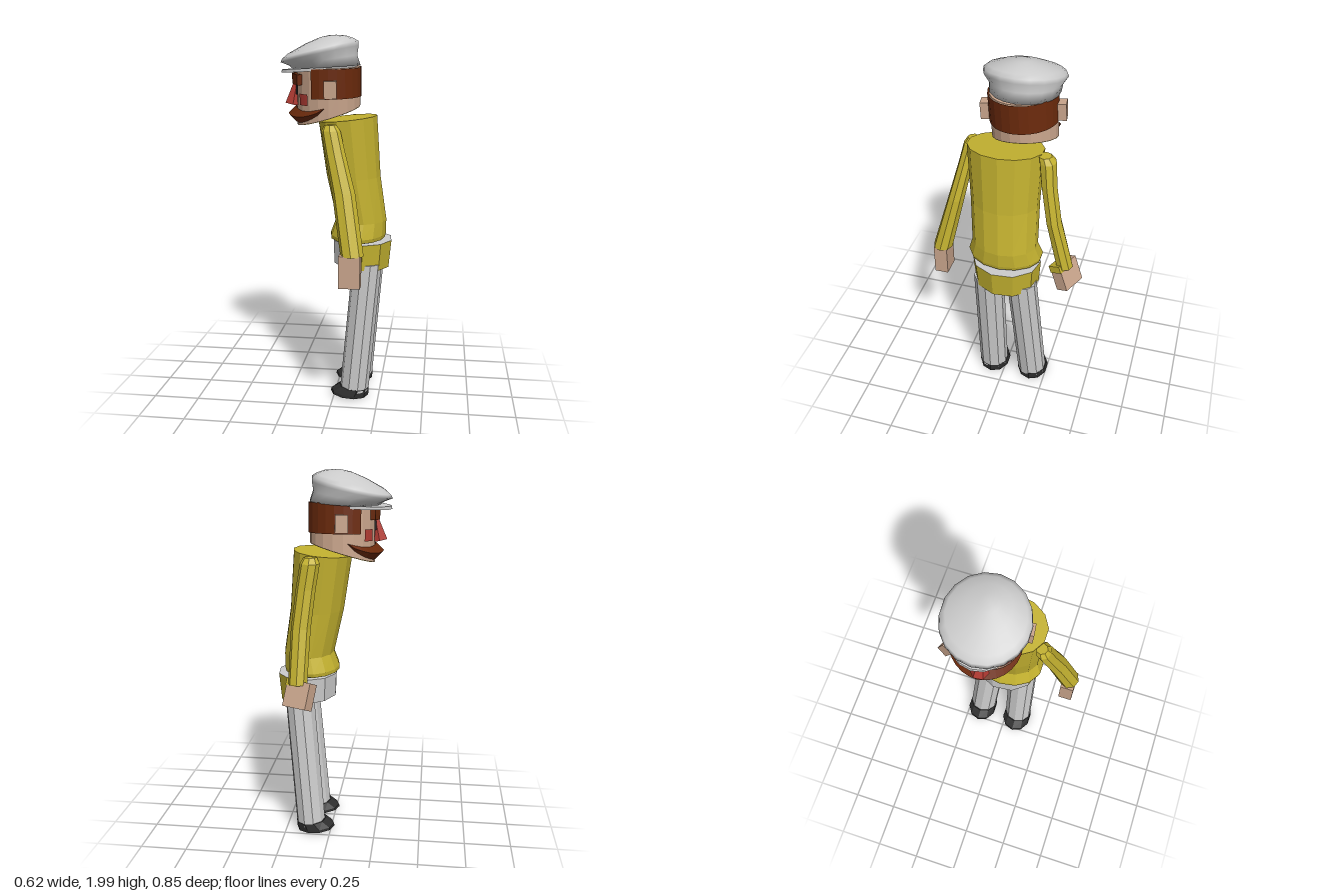
import * as THREE from 'three';
import { mergeVertices } from 'three/addons/utils/BufferGeometryUtils.js';

const YELLOW = 0xc4b230, SKIN = 0xc9a58c, BROWN = 0x6b2a0c, RED = 0xb03a32,
  BLACK = 0x2e2e2e, GREY = 0xcccccc, BLUE = 0x1c2a6b;

function add(parent, name, geometry, color, flat = true) {
  const mat = new THREE.MeshStandardMaterial({ color, flatShading: flat, side: THREE.DoubleSide });
  const mesh = new THREE.Mesh(geometry, mat);
  mesh.name = name;
  parent.add(mesh);
  return mesh;
}

// Skin through elliptical rings, bottom to top: [x, y, z, rx, rz, slope along x]
function loft(rings, sides, start = 0, length = Math.PI * 2) {
  const pos = [], index = [], w = sides + 1;
  rings.forEach(([x, y, z, rx, rz, slope = 0], i) => {
    for (let j = 0; j <= sides; j++) {
      const a = start + (length * j) / sides;
      const dx = rx * Math.cos(a);
      pos.push(x + dx, y + slope * dx, z + rz * Math.sin(a));
      if (i && j < sides) {
        const p = (i - 1) * w + j, q = p + w;
        index.push(p, q, p + 1, p + 1, q, q + 1);
      }
    }
  });
  let g = new THREE.BufferGeometry();
  g.setAttribute('position', new THREE.Float32BufferAttribute(pos, 3));
  g.setIndex(index);
  g = mergeVertices(g, 1e-4);
  g.computeVertexNormals();
  return g;
}

// Zero-radius rings that close both ends
function closed(rings) {
  const tip = ([x, y, z, , , s]) => [x, y, z, 0, 0, s];
  return [tip(rings[0]), ...rings, tip(rings[rings.length - 1])];
}

// Curved patch on the head, centred at an angle away from the face (-x)
function patch(r, y, h, angle, width, segs) {
  const g = new THREE.CylinderGeometry(r, r, h, segs, 1, true, -Math.PI / 2 + angle - width / 2, width);
  return g.translate(0, y, 0);
}

function buildHead() {
  const head = new THREE.Group();
  head.name = 'head';
  head.position.set(-0.05, 1.7, -0.06);
  head.rotation.set(0.06, 0.13, 0);

  add(head, 'skull', loft(closed([[0, -0.13, 0, 0.172, 0.172, 0.29], [0, 0.0, 0, 0.172, 0.172], [0, 0.13, 0, 0.172, 0.172]]), 20), SKIN, false)
    .material.flatShading = true;
  add(head, 'neckUnderside', loft([[0, -0.132, 0, 0, 0, 0.29], [0, -0.132, 0, 0.171, 0.171, 0.29]], 20), YELLOW);
  add(head, 'hair', patch(0.179, 0.05, 0.155, Math.PI, 4.2, 16), BROWN);

  for (const s of [1, -1]) {
    add(head, 'ear', new THREE.BoxGeometry(0.065, 0.09, 0.055), SKIN).position.set(0.01, 0.025, s * 0.19);
    add(head, 'cheek', patch(0.178, -0.035, 0.06, s * 0.72, 0.36, 3), RED);
    add(head, 'eye', patch(0.179, 0.012, 0.05, s * 0.33, 0.22, 3), BLACK);
    const brow = add(head, 'eyebrow', new THREE.BoxGeometry(0.03, 0.055, 0.095), BROWN);
    brow.position.set(-0.165, 0.068, s * 0.06);
    brow.rotation.y = s * 0.33;
  }

  // Nose widens downward and leans out of the face
  const nose = add(head, 'nose', new THREE.CylinderGeometry(0.022, 0.048, 0.11, 6), RED);
  nose.position.set(-0.182, -0.015, 0);
  nose.rotation.z = -0.2;

  // Moustache wraps the jaw, bulging in front and tapering to points
  const tash = new THREE.CylinderGeometry(1, 1, 2, 14, 2, true, -Math.PI / 2 - 1.45, 2.9);
  const p = tash.attributes.position;
  for (let i = 0; i < p.count; i++) {
    const a = Math.atan2(p.getZ(i), -p.getX(i)), t = Math.abs(a) / 1.45, row = p.getY(i);
    const r = 0.175 + (Math.abs(row) < 0.5 ? 0.008 + 0.036 * (1 - t) : 0);
    const top = -0.075 - 0.02 * Math.sin(Math.PI * t);
    const drop = 0.088 * Math.pow(Math.max(0, 1 - t), 0.6);
    p.setXYZ(i, -r * Math.cos(a), top - (drop * (1 - row)) / 2, r * Math.sin(a));
  }
  tash.computeVertexNormals();
  add(head, 'moustache', tash, BROWN);
  return head;
}

function buildCap() {
  const cap = new THREE.Group();
  cap.name = 'cap';
  add(cap, 'capCrown', loft([
    [-0.06, 1.83, -0.06, 0, 0, 0.06],
    [-0.06, 1.825, -0.06, 0.183, 0.18, 0.06],
    [-0.08, 1.86, -0.058, 0.185, 0.185, 0.15],
    [-0.098, 1.893, -0.052, 0.211, 0.213, 0.21],
    [-0.094, 1.915, -0.052, 0.205, 0.208, 0.23],
    [-0.09, 1.935, -0.052, 0.178, 0.185, 0.23],
    [-0.065, 1.968, -0.05, 0.11, 0.11, 0.2],
    [-0.05, 1.987, -0.05, 0.045, 0.045, 0.15],
    [-0.04, 1.993, -0.05, 0, 0, 0]], 18), GREY, false);
  add(cap, 'capBrim', loft(closed([
    [-0.1, 1.808, -0.055, 0.208, 0.17, 0.06],
    [-0.1, 1.824, -0.055, 0.205, 0.17, 0.06]]), 18), GREY);
  return cap;
}

export function createModel() {
  const model = new THREE.Group();
  model.name = 'standingMan';
  model.add(buildHead(), buildCap());

  // Jersey leans forward, with a dark lining under it
  add(model, 'torso', loft([
    [0.12, 0.91, -0.01, 0.15, 0.2],
    [0.122, 0.93, -0.01, 0.152, 0.205],
    [0.138, 1.01, -0.01, 0.138, 0.18],
    [0.095, 1.25, 0, 0.147, 0.185],
    [0.063, 1.56, 0.005, 0.158, 0.202, 0.1],
    [0.063, 1.56, 0.005, 0, 0, 0.1]], 14), YELLOW);
  add(model, 'torsoLining', loft([[0.12, 0.909, -0.01, 0, 0], [0.12, 0.909, -0.01, 0.149, 0.199]], 14), BLUE);

  // Hips: yellow hem behind, trouser front ahead
  const hips = [[0.14, 0.755, -0.02, 0.156, 0.18, -0.08], [0.145, 0.895, -0.02, 0.166, 0.19]];
  const from = -1.68, back = Math.PI * 1.2;
  add(model, 'jerseyHem', loft(hips, 6, from, back), YELLOW);
  add(model, 'trouserFront', loft(hips, 4, from + back, Math.PI * 0.8), GREY);
  for (const [x, y, z, rx, rz, s] of hips)
    add(model, 'hipCover', loft([[x, y, z, 0, 0, s], [x, y, z, rx, rz, s]], 10, from), GREY);

  // Legs and shoes
  for (const [topZ, footZ] of [[0.073, 0.073], [-0.115, -0.167]]) {
    add(model, 'leg', loft(closed([
      [0.113, 0.04, footZ, 0.08, 0.083, -0.08],
      [0.18, 0.78, topZ, 0.08, 0.083, 0]]), 10), GREY);
    add(model, 'shoe', loft(closed([
      [0.085, 0.01, footZ, 0.106, 0.09, -0.08],
      [0.088, 0.024, footZ, 0.106, 0.09, -0.08],
      [0.112, 0.058, footZ, 0.083, 0.085, -0.08]]), 10), BLACK);
  }

  // Sleeves
  add(model, 'leftArm', loft(closed([
    [0.128, 0.89, 0.355, 0.06, 0.054],
    [0.075, 1.2, 0.28, 0.06, 0.045],
    [0.025, 1.4, 0.235, 0.053, 0.04],
    [0.0, 1.51, 0.21, 0.05, 0.04],
    [-0.005, 1.54, 0.2, 0.03, 0.03]]), 8), YELLOW);
  add(model, 'rightArm', loft(closed([
    [0.15, 0.92, -0.345, 0.05, 0.046],
    [0.142, 1.2, -0.275, 0.052, 0.042],
    [0.12, 1.4, -0.24, 0.052, 0.042],
    [0.1, 1.53, -0.225, 0.052, 0.045],
    [0.1, 1.56, -0.21, 0.035, 0.035]]), 8), YELLOW);

  // Hands; the right one turns out, with a cuff on its rear top edge
  const left = add(model, 'leftHand', new THREE.BoxGeometry(0.11, 0.17, 0.075), SKIN);
  left.position.set(0.118, 0.81, 0.358);
  const right = new THREE.Group();
  right.name = 'rightHand';
  right.position.set(0.14, 0.86, -0.355);
  right.rotation.set(0.4, -0.42, 0, 'YXZ');
  add(right, 'rightPalm', new THREE.BoxGeometry(0.14, 0.14, 0.07), SKIN);
  add(right, 'rightCuff', new THREE.BoxGeometry(0.07, 0.04, 0.072), YELLOW).position.set(0.04, 0.06, 0);
  model.add(right);
  return model;
}
